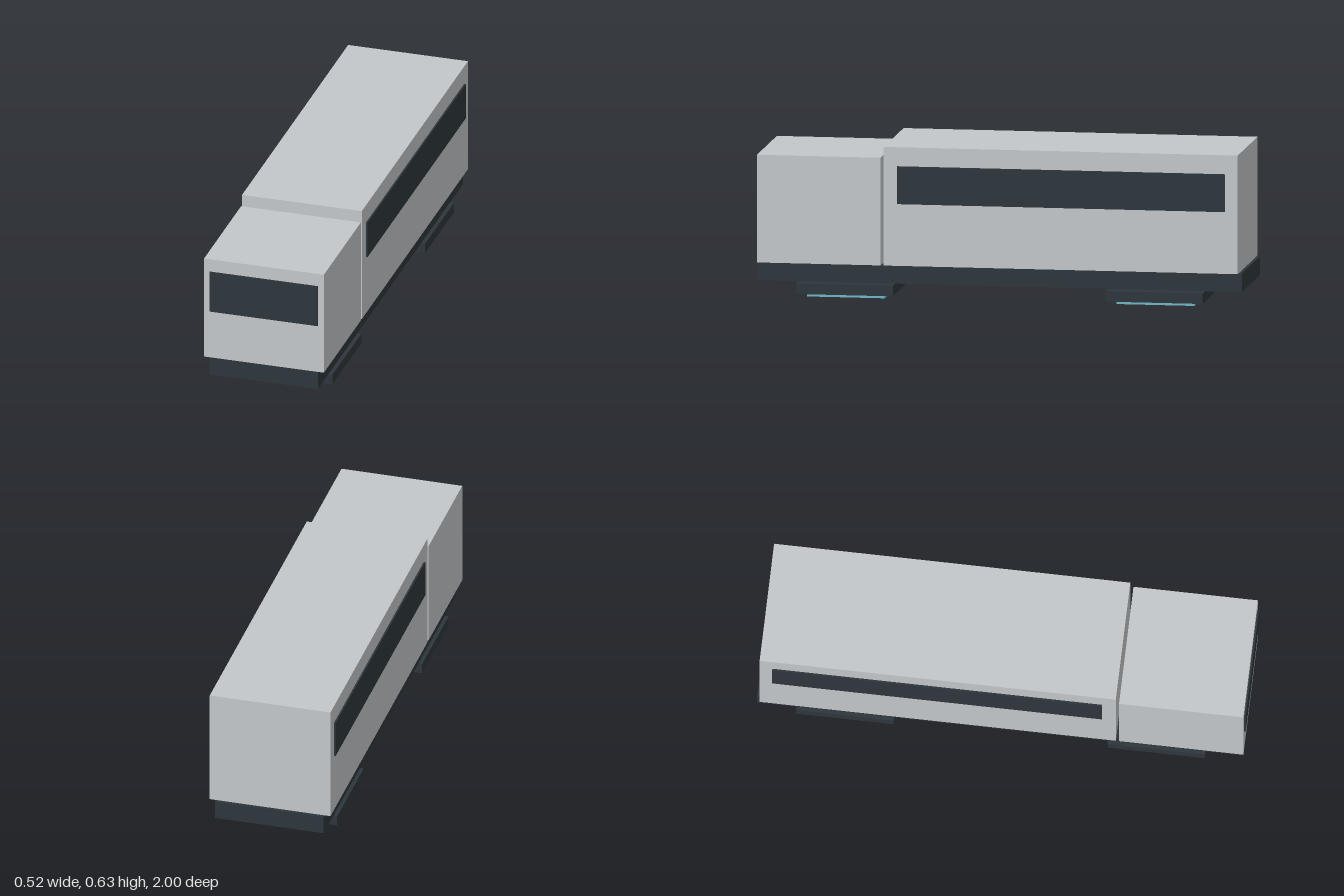
import * as THREE from 'three';

export function createModel() {
  const model = new THREE.Group();
  model.name = 'hoverTruck';

  const material = (name, color) => {
    const m = new THREE.MeshStandardMaterial({ color });
    m.name = name;
    return m;
  };
  const body = material('bodyGrey', 0xc3c7ca);
  const dark = material('darkSlate', 0x2e363c);
  const glow = material('glowBlue', 0x72b5c6);

  // Box given by its lower and upper limits on each axis
  const box = (name, mat, [x0, x1], [y0, y1], [z0, z1]) => {
    const mesh = new THREE.Mesh(new THREE.BoxGeometry(x1 - x0, y1 - y0, z1 - z0), mat);
    mesh.position.set((x0 + x1) / 2, (y0 + y1) / 2, (z0 + z1) / 2);
    mesh.name = name;
    model.add(mesh);
  };

  // Main bodies on a long chassis
  box('chassis', dark, [-0.23, 0.23], [0.066, 0.143], [-1, 0.994]);
  box('cab', body, [-0.255, 0.255], [0.143, 0.586], [0.484, 0.993]);
  box('cargoBody', body, [-0.255, 0.255], [0.143, 0.631], [-0.987, 0.471]);

  // Window plates
  box('windshield', dark, [-0.23, 0.23], [0.353, 0.531], [0.993, 1]);
  box('leftWindow', dark, [0.255, 0.262], [0.398, 0.553], [-0.935, 0.415]);
  box('rightWindow', dark, [-0.262, -0.255], [0.398, 0.553], [-0.935, 0.415]);

  // Hover pads with glowing undersides
  for (const [end, z] of [['front', 0.635], ['rear', -0.64]]) {
    box(end + 'HoverPad', dark, [-0.242, 0.242], [0.015, 0.058], [z - 0.2, z + 0.2]);
    box(end + 'PadGlow', glow, [-0.203, 0.203], [0, 0.012], [z - 0.16, z + 0.16]);
  }

  return model;
}
